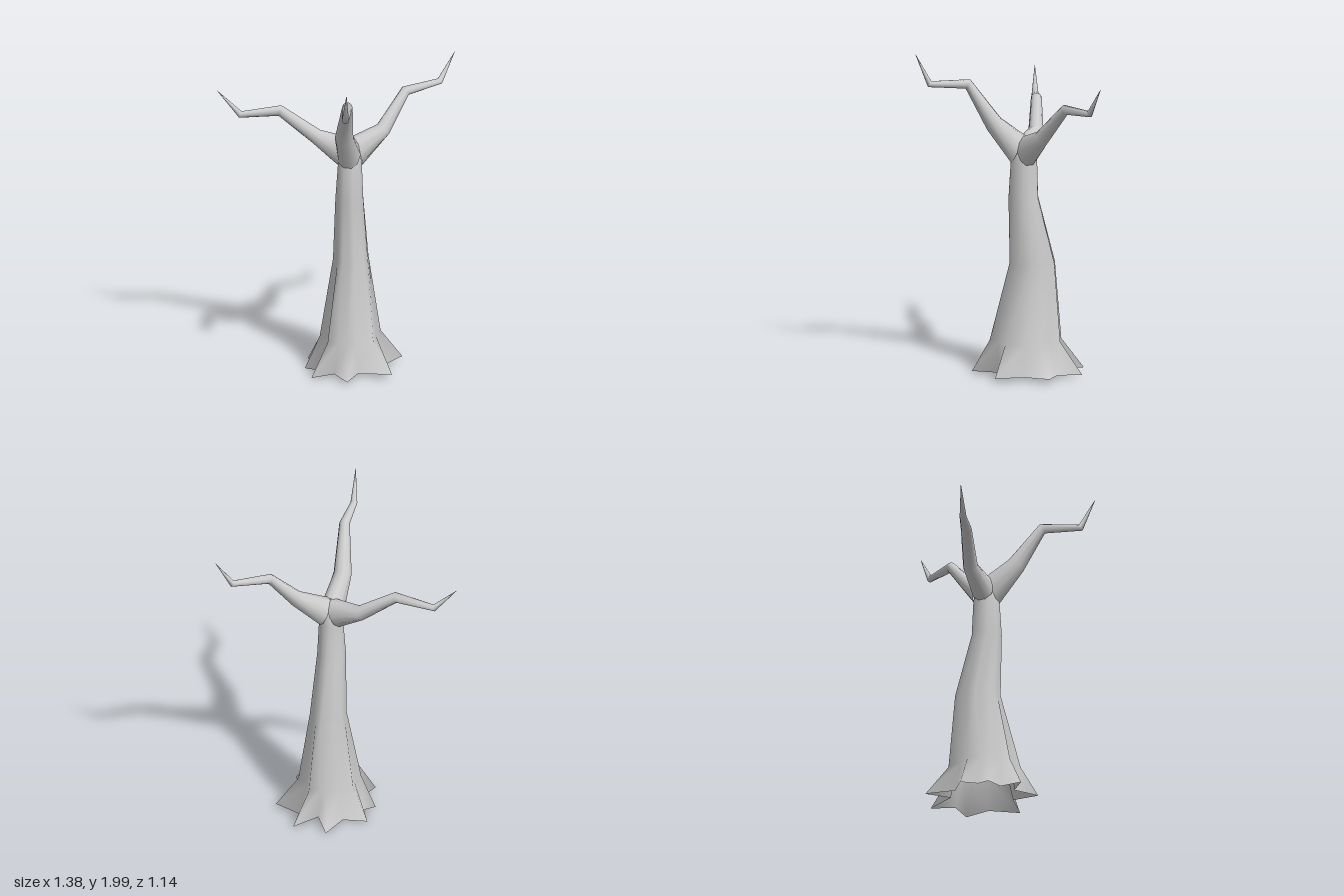
import * as THREE from 'three';

const V = (x, y, z) => new THREE.Vector3(x, y, z);
const material = new THREE.MeshStandardMaterial({ color: 0xcccccc, side: THREE.DoubleSide });

// Skins a list of equal-length rings into one smooth open tube
function loft(rings, name) {
  const n = rings[0].length, index = [];
  for (let i = 0; i < rings.length - 1; i++) {
    for (let j = 0; j < n; j++) {
      const a = i * n + j, b = i * n + (j + 1) % n;
      index.push(a, a + n, b, b, a + n, b + n);
    }
  }
  const geometry = new THREE.BufferGeometry().setFromPoints(rings.flat());
  geometry.setIndex(index);
  geometry.computeVertexNormals();
  const mesh = new THREE.Mesh(geometry, material);
  mesh.name = name;
  return mesh;
}

// Root flare outline on the ground: root tips and valleys alternate (x, y, z)
const ROOTS = [
  [0.03, 0.03, -0.44], [0.13, 0.04, -0.30], [0.24, 0.03, -0.44], [0.26, 0.03, -0.29],
  [0.42, 0.04, -0.25], [0.33, 0.03, -0.10], [0.41, 0.04, 0.08], [0.20, 0.03, 0.07],
  [0.16, 0.03, 0.23], [0.06, 0.03, 0.10], [-0.07, 0.02, 0.16], [-0.03, 0.02, 0.03],
  [-0.14, 0.01, -0.03], [-0.09, 0.02, -0.10], [-0.15, 0.01, -0.20], [-0.01, 0.02, -0.25],
];

// Trunk cross-sections: height, centre x and z, half sizes, ridge depth
const TRUNK = [
  [0.22, 0.13, -0.095, 0.17, 0.20, 0.10],
  [0.70, 0.125, -0.135, 0.105, 0.135, 0.03],
  [1.10, 0.125, -0.08, 0.085, 0.09, 0.015],
  [1.32, 0.127, -0.082, 0.073, 0.08, 0],
  [1.42, 0.127, -0.088, 0.06, 0.06, 0],
  [1.485, 0.127, -0.095, 0.004, 0.004, 0],
];

function buildTrunk() {
  const rings = [ROOTS.map((p) => V(...p))];
  for (const [y, cx, cz, rx, rz, ridge] of TRUNK) {
    rings.push(ROOTS.map(([x, , z], j) => {
      const a = Math.atan2(z + 0.1, x - 0.13);
      const k = 1 + (j % 2 ? -ridge : ridge);
      return V(cx + Math.cos(a) * rx * k, y, cz + Math.sin(a) * rz * k);
    }));
  }
  return loft(rings, 'trunk');
}

// Each branch grows out of the trunk rim and bends through its knees
function buildBranch(name, knees, radii, sides = 10) {
  const points = knees.map((p) => V(...p));
  const fork = V(0.127, 1.485, -0.092);
  const out = points[0].clone().sub(fork).setY(0).normalize();
  const rim = V(0.127, 1.31, -0.082).addScaledVector(out, 0.074);

  const ring = (centre, side, up) => Array.from({ length: sides }, (_, j) => {
    const a = (j / sides) * Math.PI * 2;
    return centre.clone().addScaledVector(side, Math.cos(a)).addScaledVector(up, Math.sin(a));
  });

  // Slanted first section, from the trunk rim up to the fork
  const start = rim.clone().add(fork).multiplyScalar(0.5);
  const startSide = out.clone().cross(V(0, 1, 0)).multiplyScalar(0.072);
  const rings = [ring(start, startSide, fork.clone().sub(rim).multiplyScalar(0.5))];

  // Mitred sections at the knees, tapering to a point
  points.forEach((p, i) => {
    const before = p.clone().sub(i ? points[i - 1] : start).normalize();
    const after = i < points.length - 1 ? points[i + 1].clone().sub(p).normalize() : before;
    const t = before.clone().add(after).normalize();
    const side = t.clone().cross(V(0, 1, 0)).normalize();
    const up = side.clone().cross(t);
    rings.push(ring(p, side.multiplyScalar(radii[i]), up.multiplyScalar(radii[i])));
  });
  return loft(rings, name);
}

export function createModel() {
  const tree = new THREE.Group();
  tree.name = 'bareTree';
  tree.add(
    buildTrunk(),
    buildBranch('rightBranch',
      [[-0.09, 1.465, -0.145], [-0.31, 1.62, -0.138], [-0.55, 1.587, -0.12], [-0.69, 1.735, -0.112]],
      [0.046, 0.033, 0.021, 0.001]),
    buildBranch('leftBranch',
      [[0.31, 1.513, -0.2], [0.425, 1.715, -0.345], [0.61, 1.732, -0.5], [0.69, 1.9, -0.57]],
      [0.048, 0.031, 0.02, 0.001]),
    buildBranch('frontBranch',
      [[0.12, 1.555, 0.1], [0.165, 1.81, 0.255], [0.19, 1.812, 0.485], [0.21, 2.0, 0.57]],
      [0.056, 0.032, 0.021, 0.001]),
  );
  return tree;
}
